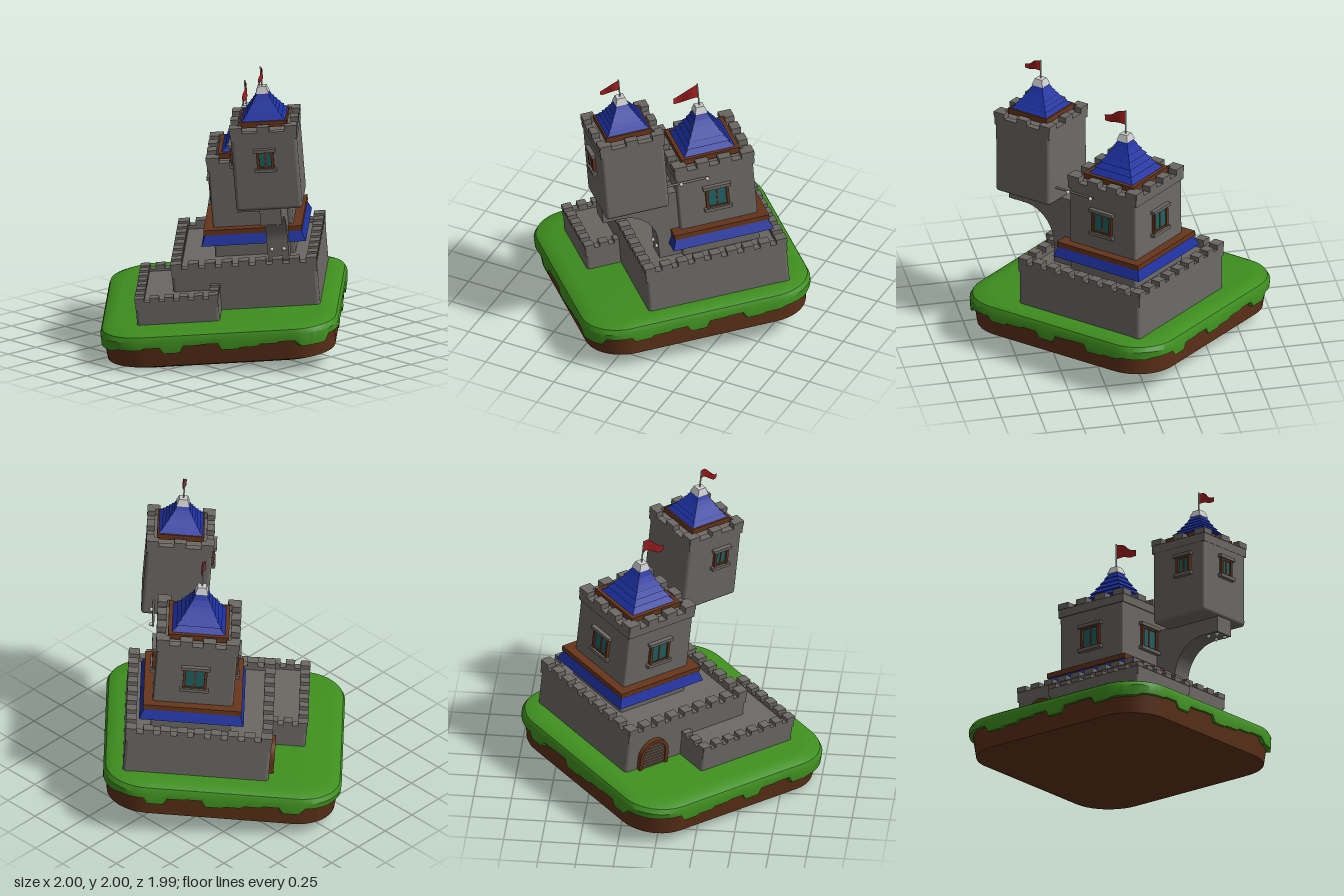
import * as THREE from 'three';
import { toCreasedNormals } from 'three/addons/utils/BufferGeometryUtils.js';
import { RoundedBoxGeometry } from 'three/addons/geometries/RoundedBoxGeometry.js';

const paint = (color, extra = {}) => new THREE.MeshStandardMaterial({ color, ...extra });
const stone = paint(0x6b6864), pale = paint(0xcccccc), wood = paint(0x66351b), soil = paint(0x5c3018);
const grass = paint(0x3f8f1f), glass = paint(0x1f5f62), slat = paint(0x6a5a4c);
const blue = paint(0x1b2f9c, { flatShading: true });
const red = paint(0x9c1c1c, { side: THREE.DoubleSide });

function add(parent, name, geo, mat, x = 0, y = 0, z = 0) {
  const m = new THREE.Mesh(geo, mat);
  m.name = name;
  m.position.set(x, y, z);
  parent.add(m);
  return m;
}
function group(parent, name, x = 0, y = 0, z = 0, turn = 0) {
  const g = new THREE.Group();
  g.name = name;
  g.position.set(x, y, z);
  g.rotation.y = turn;
  parent.add(g);
  return g;
}
const box = (w, h, d) => new THREE.BoxGeometry(w, h, d);

// Square frustum given by half widths
function frustum(top, bottom, h) {
  return new THREE.CylinderGeometry(top * Math.SQRT2, bottom * Math.SQRT2, h, 4).toNonIndexed().rotateY(Math.PI / 4);
}

// Outline of a square with rounded corners
function outline(half, r = 0.27) {
  const pts = [], c = half - r, arc = 10, side = 40;
  for (let k = 0; k < 4; k++) {
    const q = [];
    for (let j = 0; j <= arc; j++) {
      const a = (j / arc) * Math.PI / 2;
      q.push([c + r * Math.cos(a), c + r * Math.sin(a)]);
    }
    for (let j = 1; j < side; j++) q.push([c * (1 - 2 * j / side), half]);
    for (let [x, z] of q) {
      for (let n = 0; n < k; n++) [x, z] = [-z, x];
      pts.push([x, z]);
    }
  }
  return pts;
}

// Skin over rings of [half width, height or height rule], capped at both ends
function loft(rings) {
  const pos = [], idx = [];
  let n = 0;
  for (const [half, y] of rings) {
    const o = outline(half);
    n = o.length;
    o.forEach(([x, z], i) => pos.push(x, typeof y === 'function' ? y(i) : y, z));
  }
  const last = rings.length - 1, bottom = pos.length / 3, top = bottom + 1;
  const yb = rings[0][1];
  pos.push(0, typeof yb === 'function' ? 0.17 : yb, 0, 0, rings[last][1], 0);
  for (let i = 0; i < n; i++) {
    const j = (i + 1) % n;
    for (let r = 0; r < last; r++) {
      const a = r * n + i, b = r * n + j, c = a + n, d = b + n;
      idx.push(a, c, b, b, c, d);
    }
    idx.push(i, j, bottom, last * n + i, top, last * n + j);
  }
  const g = new THREE.BufferGeometry();
  g.setAttribute('position', new THREE.Float32BufferAttribute(pos, 3));
  g.setIndex(idx);
  return toCreasedNormals(g, 0.6);
}

// Parapet ring with merlons; hx, hz are outer half sizes
function battlement(parent, x, y, z, hx, hz, thick, wallH, merlonH, size) {
  const g = group(parent, 'battlement', x, y, z);
  for (let k = 0; k < 4; k++) {
    const len = k % 2 ? hz : hx, out = k % 2 ? hx : hz;
    const s = group(g, 'parapetSide', 0, 0, 0, k * Math.PI / 2);
    add(s, 'parapet', box(2 * len, wallH, thick), stone, 0, wallH / 2, out - thick / 2);
    const n = Math.max(3, Math.round(2 * len / (size * 1.6)));
    for (let i = 0; i < n; i++) {
      const px = -len + size / 2 + i * (2 * len - size) / (n - 1);
      add(s, 'merlon', box(size, merlonH, thick + 0.008), stone, px, wallH + merlonH / 2, out - thick / 2);
    }
  }
}

// Two-pane window with stone lintel and sill, on a wall at distance half
function windowOn(parent, x, z, half, turn, shift, y, w, h) {
  const side = group(parent, 'windowSide', x, y, z, turn);
  const g = group(side, 'window', shift, 0, half);
  add(g, 'glass', box(w, h, 0.012), glass);
  for (const s of [-1, 0, 1]) {
    add(g, 'windowPost', box(s ? 0.018 : 0.01, h, s ? 0.035 : 0.022), wood, s * w / 2, 0, 0);
  }
  for (const s of [-1, 1]) {
    add(g, 'windowRail', box(w, 0.012, 0.026), wood, 0, s * (h / 2 - 0.006), 0);
    add(g, s > 0 ? 'lintel' : 'sill', box(w + 0.05, 0.022, 0.055), stone, 0, s * (h / 2 + 0.01), 0);
  }
}

// Wooden eave, shingled tiers, cap, pole and waving flag
function roof(parent, x, y, z, eave, half, h, poleTop, flagL, flagH) {
  const g = group(parent, 'roof', x, y, z);
  add(g, 'eave', box(2 * eave, 0.04, 2 * eave), wood, 0, 0.02, 0);
  const n = 6, th = h / n, tip = 0.04;
  const width = t => tip + (half - tip) * Math.pow(1 - t, 1.15);
  for (let i = 0; i < n; i++) {
    add(g, 'roofTier', frustum(width((i + 1) / n) * 0.88, width(i / n), th), blue, 0, 0.04 + (i + 0.5) * th, 0);
  }
  const cap = 0.04 + h;
  add(g, 'roofCap', frustum(0.028, 0.044, 0.045), paint(0xcccccc, { flatShading: true }), 0, cap + 0.022, 0);
  const poleH = poleTop - y - cap;
  add(g, 'flagPole', new THREE.CylinderGeometry(0.005, 0.005, poleH, 8), pale, 0, cap + poleH / 2, 0);
  const flag = new THREE.PlaneGeometry(flagL, flagH, 12, 2);
  const p = flag.attributes.position;
  for (let i = 0; i < p.count; i++) {
    const t = p.getX(i) / flagL + 0.5;
    p.setXYZ(i, Math.sin(t * 6) * 0.014, p.getY(i) * (1 - 0.6 * t) - 0.4 * flagH * t + 0.012 * Math.sin(t * 6), t * flagL);
  }
  flag.computeVertexNormals();
  add(g, 'flag', flag, red, 0, poleTop - y - flagH / 2 - 0.005, 0);
}

function archShape(r, straight, target = new THREE.Shape()) {
  target.moveTo(-r, 0);
  target.lineTo(r, 0);
  target.lineTo(r, straight);
  target.absarc(0, straight, r, 0, Math.PI, false);
  target.lineTo(-r, 0);
  return target;
}

export function createModel() {
  const model = new THREE.Group();
  model.name = 'castle';
  // The whole island is turned and slightly tilted
  const island = group(model, 'island', 0, 0.09, -0.01);
  island.rotation.set(0.092, 0.755, 0.016, 'ZXY');

  // Ground: soil slab and grass with a stepped lower edge
  add(island, 'soil', loft([[0.72, 0], [0.75, 0.015], [0.77, 0.2]]), soil);
  const steps = [0.155, 0.115, 0.14, 0.11, 0.16, 0.125, 0.15];
  const jag = i => steps[(Math.floor(i / 5) * 3) % 7];
  add(island, 'grass', loft([[0.755, jag], [0.782, jag], [0.785, 0.195], [0.772, 0.225], [0.735, 0.245], [0.68, 0.25]]), grass);

  // Terrace and lower forecourt
  add(island, 'terrace', new RoundedBoxGeometry(0.96, 0.36, 0.97, 3, 0.025), stone, 0.18, 0.34, -0.135);
  battlement(island, 0.18, 0.48, -0.135, 0.48, 0.485, 0.06, 0.065, 0.035, 0.07);
  add(island, 'forecourt', new RoundedBoxGeometry(0.545, 0.22, 0.75, 3, 0.02), stone, -0.2625, 0.28, 0.205);
  battlement(island, -0.2625, 0.35, 0.205, 0.2725, 0.375, 0.055, 0.055, 0.028, 0.06);

  // Arched gate
  const gate = group(island, 'gate', -0.3, 0.24, -0.41, -Math.PI / 2);
  const frame = archShape(0.115, 0.1);
  frame.holes.push(archShape(0.09, 0.1, new THREE.Path()));
  add(gate, 'gateFrame', new THREE.ExtrudeGeometry(frame, { depth: 0.05, bevelEnabled: false, curveSegments: 16 }), wood, 0, 0, -0.02);
  add(gate, 'gateDoor', new THREE.ExtrudeGeometry(archShape(0.092, 0.1), { depth: 0.02, bevelEnabled: false }), slat, 0, 0, -0.01);
  for (let i = 0; i < 8; i++) {
    const y = 0.012 + i * 0.022, w = y < 0.1 ? 0.09 : Math.sqrt(0.0081 - (y - 0.1) ** 2);
    add(gate, 'gateSlat', box(2 * w, 0.015, 0.012), slat, 0, y, 0.014);
  }

  // Keep with its skirt roof
  const kx = 0.237, kz = -0.216;
  add(island, 'keep', new RoundedBoxGeometry(0.53, 0.7, 0.53, 3, 0.015), stone, kx, 0.8, kz);
  add(island, 'skirtRoof', frustum(0.315, 0.345, 0.07), blue, kx, 0.655, kz);
  add(island, 'skirtTrim', box(0.65, 0.035, 0.65), wood, kx, 0.705, kz);
  battlement(island, kx, 1.11, kz, 0.272, 0.272, 0.055, 0.055, 0.04, 0.085);
  for (let k = 0; k < 4; k++) windowOn(island, kx, kz, 0.267, k * Math.PI / 2, 0, 0.92, 0.14, 0.145);
  roof(island, kx, 1.17, kz, 0.2, 0.175, 0.22, 1.64, 0.17, 0.1);

  // Overhanging turret
  const tx = 0.396, tz = 0.352;
  add(island, 'turret', new RoundedBoxGeometry(0.436, 0.53, 0.436, 4, 0.025), stone, tx, 1.255, tz);
  battlement(island, tx, 1.475, tz, 0.22, 0.22, 0.045, 0.055, 0.038, 0.08);
  windowOn(island, tx, tz, 0.22, 0, 0, 1.34, 0.095, 0.115);
  windowOn(island, tx, tz, 0.22, -Math.PI / 2, 0.05, 1.34, 0.095, 0.115);
  roof(island, tx, 1.545, tz, 0.155, 0.145, 0.155, 1.915, 0.13, 0.075);

  // Curved bracket carrying the turret
  const arm = new THREE.Shape();
  arm.moveTo(0.03, 0.5);
  arm.lineTo(0.2, 0.5);
  arm.lineTo(0.2, 0.65);
  arm.absellipse(0.43, 0.65, 0.23, 0.235, Math.PI, Math.PI / 2, true);
  arm.lineTo(0.56, 0.885);
  arm.lineTo(0.56, 1);
  arm.lineTo(0.03, 1);
  const armGeo = new THREE.ExtrudeGeometry(arm, { depth: 0.14, bevelEnabled: false, curveSegments: 16 });
  armGeo.rotateY(-Math.PI / 2);
  add(island, 'bracket', toCreasedNormals(armGeo, 0.5), stone, 0.47, 0, 0);
  const knob = new THREE.SphereGeometry(0.013, 12, 8);
  for (const u of [0.36, 0.44]) {
    for (const w of [0.46, 0.53]) add(island, 'rivet', knob, pale, u, 0.88, w);
    add(island, 'rivet', knob, pale, u, 0.6, 0.205);
  }

  // Tie rod between keep and turret
  const rod = add(island, 'tieRod', new THREE.CylinderGeometry(0.008, 0.008, 0.32, 8), stone, 0.535, 1.1, -0.005);
  rod.rotation.x = Math.PI / 2;
  for (const w of [-0.15, 0.03]) add(island, 'rivet', knob, pale, 0.55, 1.1, w);
  return model;
}
